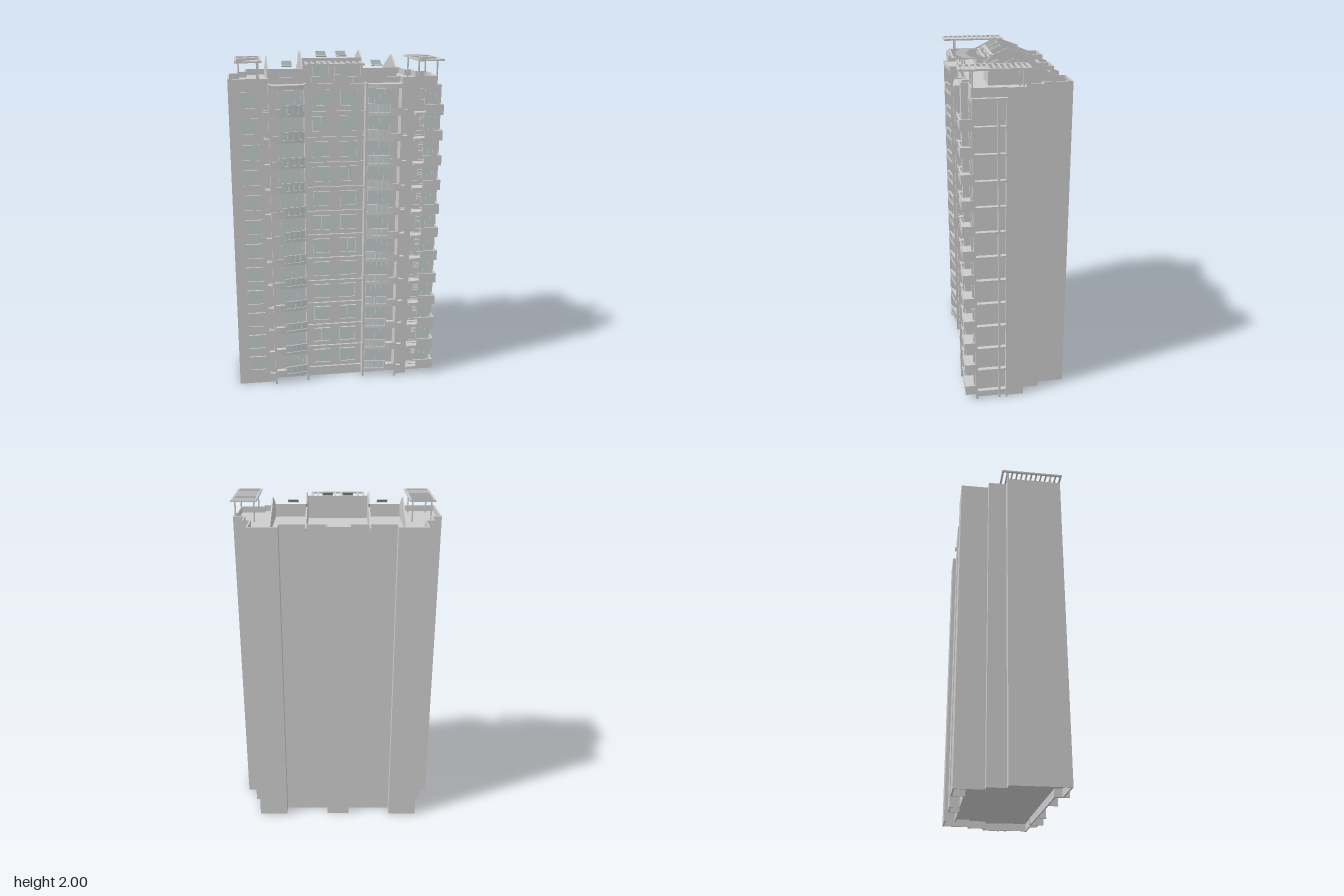
import * as THREE from 'three';

const FLOORS = 12, STEP = 0.147, BASE = 0.053, ROOF = 1.835, AXIS = -0.01;
const grey = new THREE.MeshStandardMaterial({ color: 0xcccccc });
const glass = new THREE.MeshStandardMaterial({ color: 0xc2cecd });
const darkGlass = new THREE.MeshStandardMaterial({ color: 0x9aa6a3 });

function add(parent, name, geometry, material = grey) {
  const mesh = new THREE.Mesh(geometry, material);
  mesh.name = name;
  parent.add(mesh);
  return mesh;
}

// Box given by its limits on each axis
function box(parent, name, [x0, x1], [y0, y1], [z0, z1], material) {
  const g = new THREE.BoxGeometry(Math.abs(x1 - x0), y1 - y0, z1 - z0);
  g.translate((x0 + x1) / 2, (y0 + y1) / 2, (z0 + z1) / 2);
  return add(parent, name, g, material);
}

function group(parent, name) {
  const g = new THREE.Group();
  g.name = name;
  parent.add(g);
  return g;
}

// Extrude a plan outline of [x, z] points between two heights
const planPoints = (pts) => pts.map(([x, z]) => new THREE.Vector2(x, -z));
function plan(parent, name, pts, y0, y1, hole, material) {
  const shape = new THREE.Shape(planPoints(pts));
  if (hole) shape.holes.push(new THREE.Path(planPoints(hole)));
  const g = new THREE.ExtrudeGeometry(shape, { depth: y1 - y0, bevelEnabled: false });
  g.rotateX(-Math.PI / 2).translate(0, y0, 0);
  return add(parent, name, g, material);
}

// Shrink a right-angled outline by t on every side
function inset(pts, t) {
  const n = pts.length;
  const normal = (a, b) => [Math.sign(b[1] - a[1]) * t, -Math.sign(b[0] - a[0]) * t];
  return pts.map((p, i) => {
    const a = normal(pts[(i + n - 1) % n], p), b = normal(p, pts[(i + 1) % n]);
    return [p[0] + a[0] + b[0], p[1] + a[1] + b[1]];
  });
}

const OUTLINE = [
  [-0.606, 0.278], [-0.385, 0.278], [-0.385, 0.235], [0.365, 0.235], [0.365, 0.278], [0.44, 0.278],
  [0.44, 0.24], [0.58, 0.24], [0.58, 0.055], [0.59, 0.055], [0.59, -0.045], [0.528, -0.045],
  [0.528, -0.15], [0.486, -0.15], [0.486, -0.31], [0.315, -0.31], [0.315, -0.245], [0.055, -0.245],
  [0.055, -0.302], [-0.08, -0.302], [-0.08, -0.245], [-0.337, -0.245], [-0.337, -0.312], [-0.506, -0.312],
  [-0.506, -0.15], [-0.552, -0.15], [-0.552, -0.045], [-0.606, -0.045],
];

// Framed window with two panes and a sill, on a wall at depth z
function windowUnit(parent, x, y, w, h, z) {
  const g = group(parent, 'window'), f = 0.004;
  box(g, 'windowPane', [x - w / 2, x + w / 2], [y - h / 2, y + h / 2], [z - 0.002, z + 0.003], glass);
  for (const dx of [-w / 2, 0, w / 2])
    box(g, 'windowUpright', [x + dx - f / 2, x + dx + f / 2], [y - h / 2, y + h / 2], [z, z + 0.007]);
  for (const s of [-1, 1])
    box(g, 'windowRail', [x - w / 2 - f, x + w / 2 + f], [y + s * h / 2 - f / 2, y + s * h / 2 + f / 2], [z, z + 0.01]);
}

// Flat slatted canopy on posts; slats run along x or z
function pergola(parent, name, xs, zs, y, count, alongZ, posts) {
  const g = group(parent, name), t = 0.011, slat = 0.009, h = [y - 0.01, y];
  const [x0, x1] = xs, [z0, z1] = zs;
  for (const x of [x0, x1 - t]) box(g, 'pergolaBeam', [x, x + t], h, zs);
  for (const z of [z0, z1 - t]) box(g, 'pergolaBeam', [x0 + t, x1 - t], h, [z, z + t]);
  for (let i = 1; i < count; i++) {
    const k = i / count;
    if (alongZ) {
      const x = THREE.MathUtils.lerp(x0, x1 - t, k);
      box(g, 'pergolaSlat', [x, x + slat], h, [z0 + t, z1 - t]);
    } else {
      const z = THREE.MathUtils.lerp(z0, z1 - t, k);
      box(g, 'pergolaSlat', [x0 + t, x1 - t], h, [z, z + slat]);
    }
  }
  for (const [x, z] of posts) box(g, 'pergolaPost', [x - 0.004, x + 0.004], [1.82, y - 0.01], [z - 0.004, z + 0.004]);
}

// Curved balcony front: depth at distance d from the building's axis
const bowDepth = (d) => 0.284 + 0.026 * Math.sin(((d - 0.17) / 0.2) * Math.PI / 2);
function bowStrip(s, d0, d1, back, setback = 0) {
  const front = [], rear = [];
  for (let i = 0; i <= 6; i++) {
    const d = THREE.MathUtils.lerp(d0, d1, i / 6), x = AXIS + s * d, z = bowDepth(d) - setback;
    front.push([x, z]);
    rear.unshift([x, back ?? z - 0.006]);
  }
  return [...front, ...rear];
}

function bowBalcony(parent, s, y) {
  const g = group(parent, 'frontBalcony'), X = (d) => AXIS + s * d;
  plan(g, 'balconySlab', bowStrip(s, 0.172, 0.368, 0.23), y - 0.01, y + 0.008);
  plan(g, 'balconyParapet', bowStrip(s, 0.31, 0.368), y + 0.008, y + 0.035);
  plan(g, 'balconyGlass', bowStrip(s, 0.172, 0.31, undefined, 0.006), y + 0.008, y + 0.052, null, glass);
  plan(g, 'balconyHandrail', bowStrip(s, 0.172, 0.312), y + 0.05, y + 0.055);
  for (let i = 0; i <= 4; i++) {
    const d = 0.179 + i * 0.032, z = bowDepth(d);
    box(g, 'railingPost', [X(d) - 0.003, X(d) + 0.003], [y + 0.008, y + 0.05], [z - 0.008, z]);
  }
  // Glazed doors behind the balcony
  box(g, 'balconyDoorGlass', [X(0.195), X(0.32)], [y + 0.01, y + 0.128], [0.233, 0.238], glass);
  for (let i = 0; i <= 4; i++) {
    const x = X(0.195 + i * 0.03125);
    box(g, 'doorUpright', [x - 0.002, x + 0.002], [y + 0.01, y + 0.128], [0.233, 0.241]);
  }
  box(g, 'doorHead', [X(0.193), X(0.322)], [y + 0.128, y + 0.132], [0.233, 0.242]);
  // Equipment shelf beside the bay
  box(g, 'sideShelf', [X(0.372), X(0.41)], [y + 0.012, y + 0.018], [0.27, 0.302]);
  box(g, 'sideShelfRail', [X(0.372), X(0.41)], [y + 0.026, y + 0.03], [0.298, 0.302]);
}

function cornerBalcony(parent, y) {
  const g = group(parent, 'cornerBalcony');
  box(g, 'balconySlab', [0.44, 0.605], [y - 0.015, y + 0.002], [0.235, 0.303]);
  box(g, 'frontParapet', [0.5, 0.605], [y + 0.002, y + 0.045], [0.295, 0.303]);
  box(g, 'sideParapet', [0.597, 0.605], [y + 0.002, y + 0.045], [0.235, 0.295]);
  for (const h of [0.02, 0.04]) box(g, 'shelfRail', [0.44, 0.5], [y + h, y + h + 0.005], [0.297, 0.302]);
  box(g, 'doorGlass', [0.512, 0.57], [y + 0.005, y + 0.13], [0.238, 0.243], glass);
  for (const x of [0.51, 0.54, 0.57]) box(g, 'doorUpright', [x - 0.002, x + 0.002], [y + 0.005, y + 0.132], [0.238, 0.246]);
  for (let i = 0; i < 7; i++)
    box(g, 'louvre', [0.48, 0.506], [y + 0.06 + i * 0.011, y + 0.066 + i * 0.011], [0.238, 0.247]);
  // Side frame of the corner bay
  box(g, 'sideFrameBeam', [0.575, 0.605], [y - 0.009, y + 0.004], [0.055, 0.24]);
}

// Upright wall across the roof from a [z, y] profile
function gableWall(parent, x, profile) {
  const shape = new THREE.Shape(profile.map(([z, y]) => new THREE.Vector2(-z, y)));
  const g = new THREE.ExtrudeGeometry(shape, { depth: 0.008, bevelEnabled: false });
  g.rotateY(Math.PI / 2).translate(x - 0.004, 0, 0);
  add(parent, 'roofGableWall', g);
}

export function createModel() {
  const model = new THREE.Group();
  model.name = 'apartmentTower';

  // Core, with an outer skin that forms the base skirt and the roof parapet
  const inner = inset(OUTLINE, 0.009);
  plan(model, 'core', inner, 0.045, ROOF);
  plan(model, 'outerWall', OUTLINE, 0, 1.87, inner);

  // Storeys
  for (let i = 0; i < FLOORS; i++) {
    const y = BASE + i * STEP, storey = group(model, 'storey');
    windowUnit(storey, -0.492, y + 0.085, 0.09, 0.088, 0.278);
    for (const s of [-1, 1]) {
      windowUnit(storey, AXIS + s * 0.08, y + 0.085, 0.092, 0.088, 0.235);
      bowBalcony(storey, s, y);
    }
    box(storey, 'floorBand', [-0.177, 0.157], [y - 0.006, y + 0.012], [0.23, 0.246]);
    cornerBalcony(storey, y);
  }

  // Tall fins and top canopies of the front bays
  for (const s of [-1, 1]) {
    for (const [d, z] of [[0.173, 0.288], [0.373, 0.31]])
      box(model, 'frontFin', [AXIS + s * d - 0.006, AXIS + s * d + 0.006], [0, 1.84], [0.225, z]);
    plan(model, 'bayCanopy', bowStrip(s, 0.172, 0.372, 0.23), 1.812, 1.835);
  }
  box(model, 'centreCornice', [-0.177, 0.157], [1.815, 1.835], [0.23, 0.246]);

  // Corner bay side frame
  for (const [z, w] of [[0.058, 0.01], [0.1, 0.012], [0.235, 0.012]])
    box(model, 'sideFrameColumn', [0.575, 0.605], [0, 1.817], [z - w / 2, z + w / 2]);
  box(model, 'sideFrameHead', [0.575, 0.605], [1.808, 1.82], [0.055, 0.24]);

  // Roof gable walls
  const roof = group(model, 'roofStructure');
  for (const s of [-1, 1]) {
    gableWall(roof, AXIS + s * 0.371, [[0.125, ROOF], [0.125, 1.908], [-0.01, 1.975], [-0.04, 1.964], [-0.3, 1.862], [-0.3, ROOF]]);
    gableWall(roof, AXIS + s * 0.175, [[0.125, ROOF], [0.125, 1.908], [0.075, 1.962], [-0.015, 2], [-0.13, 1.958],
      [-0.11, 1.938], [-0.305, 1.862], [-0.305, ROOF]]);
    box(roof, 'sideAtticWall', [AXIS + s * 0.179, AXIS + s * 0.367], [ROOF, 1.908], [0.117, 0.125]);
    // Tilted skylights
    for (const [d, y, z] of [[0.26, 1.934, 0.085], [0.058, 1.984, 0.042]]) {
      const sky = group(roof, 'skylight');
      box(sky, 'skylightPane', [-0.028, 0.028], [-0.002, 0.002], [-0.028, 0.028], darkGlass);
      for (const e of [-0.029, 0.029]) {
        box(sky, 'skylightBar', [e - 0.0015, e + 0.0015], [-0.003, 0.003], [-0.0305, 0.0305]);
        box(sky, 'skylightBar', [-0.0275, 0.0275], [-0.003, 0.003], [e - 0.0015, e + 0.0015]);
      }
      sky.position.set(AXIS + s * d, y, z);
      sky.rotation.x = 0.42;
    }
    windowUnit(roof, AXIS + s * 0.062, 1.905, 0.09, 0.072, 0.081);
  }
  box(roof, 'centreAtticWall', [-0.181, 0.161], [ROOF, 1.955], [0.073, 0.081]);
  box(roof, 'centreAtticBeam', [-0.181, 0.161], [1.952, 1.964], [0.07, 0.09]);

  // Terrace railing in front of the centre attic
  box(roof, 'terraceRail', [-0.177, 0.157], [1.868, 1.874], [0.236, 0.242]);
  for (let i = 0; i <= 10; i++) {
    const x = -0.175 + i * 0.033;
    box(roof, 'terraceRailPost', [x - 0.002, x + 0.002], [ROOF, 1.868], [0.234, 0.241]);
  }

  // Roof pergolas
  pergola(model, 'centrePergola', [-0.172, 0.148], [0.112, 0.296], 1.948, 9, true,
    [[-0.165, 0.228], [0.141, 0.228], [-0.01, 0.228]]);
  const corner = (x0) => [0.02, 0.127].flatMap((dx) => [[x0 + dx, -0.03], [x0 + dx, 0.232]]);
  pergola(model, 'leftPergola', [0.45, 0.597], [-0.07, 0.302], 1.967, 12, false, corner(0.45));
  pergola(model, 'rightPergola', [-0.565, -0.418], [-0.07, 0.302], 1.967, 12, false, corner(-0.565));
  return model;
}
